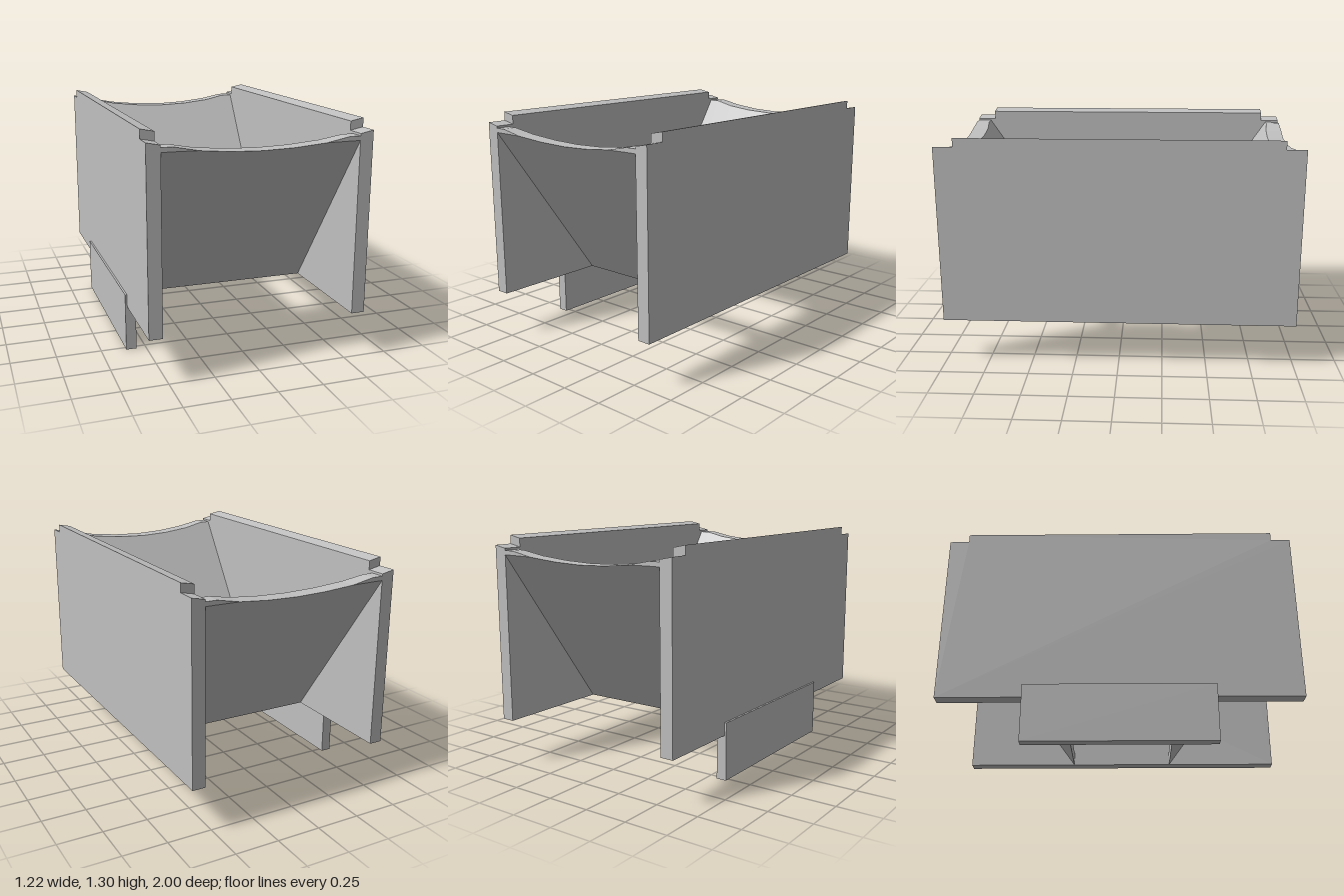
import * as THREE from 'three';

const INNER = 0.531, OUTER = 0.605, BASE = 0.255;

// Side wall with stepped top corners; its top slopes gently down toward the inside.
function wallGeometry() {
  const shape = new THREE.Shape([
    [-1, BASE], [1, BASE], [1, 1.256], [0.89, 1.256],
    [0.89, 1.305], [-0.89, 1.305], [-0.89, 1.256], [-1, 1.256],
  ].map(([z, y]) => new THREE.Vector2(z, y)));
  const geo = new THREE.ExtrudeGeometry(shape, { depth: OUTER - INNER, bevelEnabled: false });
  geo.rotateY(Math.PI / 2).translate(INNER, 0, 0);
  const p = geo.attributes.position;
  for (let i = 0; i < p.count; i++) {
    if (p.getY(i) > 1.2 && p.getX(i) < INNER + 0.01) p.setY(i, p.getY(i) - 0.015);
  }
  geo.computeVertexNormals();
  return geo;
}

// Sloping end panel: wedge cross-sections across x, cut by a dipped rim.
function panelGeometry() {
  const half = [[0.17, 1.186], [0.34, 1.203], [0.47, 1.229], [INNER, 1.229]];
  const rim = [...half.map(([x, y]) => [-x, y]).reverse(), [0, 1.18], ...half];
  const foot = 0.315, lip = 0.335, outSlope = 1.387, inSlope = 1.48;
  const rings = rim.map(([x, y]) => {
    const zo = Math.min(1, foot + (y - BASE) / outSlope);
    const zi = foot + (y - lip) / inSlope;
    return [
      [x, BASE, foot], [x, BASE + (zo - foot) * outSlope, zo],
      [x, y, zo], [x, y, zi], [x, lip, foot],
    ];
  });
  const pos = [];
  for (let i = 0; i < rings.length - 1; i++) {
    for (let j = 0; j < 5; j++) {
      const k = (j + 1) % 5;
      const a = rings[i][j], b = rings[i][k], c = rings[i + 1][j], d = rings[i + 1][k];
      pos.push(...a, ...c, ...b, ...b, ...c, ...d);
    }
  }
  const geo = new THREE.BufferGeometry();
  geo.setAttribute('position', new THREE.Float32BufferAttribute(pos, 3));
  geo.computeVertexNormals();
  return geo;
}

export function createModel() {
  const group = new THREE.Group();
  const grey = new THREE.MeshStandardMaterial({ color: 0xc0c0c0 });
  grey.name = 'light grey';

  const add = (name, geo, turn = 0) => {
    const mesh = new THREE.Mesh(geo, grey);
    mesh.name = name;
    mesh.rotation.y = turn;
    mesh.position.x = 0.0035;
    group.add(mesh);
  };

  // Each wall and panel pair is the same piece turned half round
  const wall = wallGeometry(), panel = panelGeometry();
  add('leftWall', wall);
  add('rightWall', wall, Math.PI);
  add('frontPanel', panel);
  add('backPanel', panel, Math.PI);

  // Plate hanging under the right wall, just proud of its outer face
  add('mountingPlate', new THREE.BoxGeometry(0.059, 0.328, 1.056).translate(-0.5865, 0.164, 0));

  return group;
}
